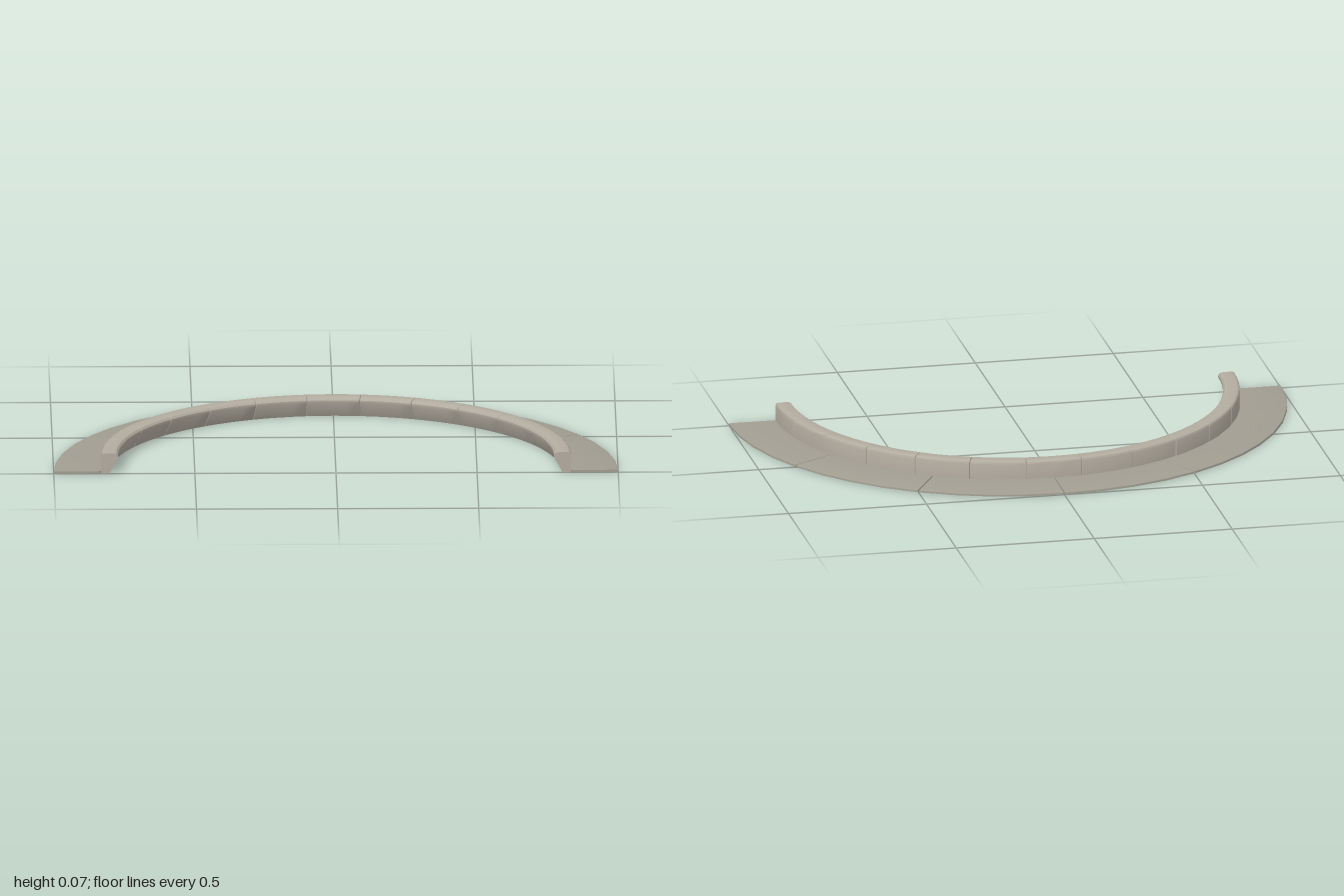
import * as THREE from 'three';
import { toCreasedNormals } from 'three/addons/utils/BufferGeometryUtils.js';

const CENTRE_Z = 0.5; // centre of the half circle
const slabMaterial = new THREE.MeshStandardMaterial({ color: 0xa19d91 });
const kerbMaterial = new THREE.MeshStandardMaterial({ color: 0xb3aca0 });

// Sweeps a convex counter-clockwise [radius, height] profile round the arc.
// rings: list of { angle, inset }, inset pulling the top and sides in.
function sweepBlock(profile, rings) {
  const rs = profile.map((p) => p[0]);
  const top = Math.max(...profile.map((p) => p[1]));
  const mid = (Math.min(...rs) + Math.max(...rs)) / 2;
  const half = Math.max(...rs) - mid;
  const n = profile.length;
  const positions = [];
  const indices = [];
  for (const { angle, inset } of rings) {
    for (const [r, y] of profile) {
      const rr = mid + (r - mid) * (1 - inset / half);
      positions.push(rr * Math.cos(angle), y * (1 - inset / top), CENTRE_Z - rr * Math.sin(angle));
    }
  }
  for (let i = 0; i < rings.length - 1; i++) {
    for (let j = 0; j < n; j++) {
      const k = (j + 1) % n;
      const a = i * n + j, b = i * n + k, c = b + n, d = a + n;
      indices.push(a, d, c, a, c, b);
    }
  }
  const last = (rings.length - 1) * n;
  for (let j = 1; j < n - 1; j++) {
    indices.push(0, j, j + 1, last, last + j + 1, last + j);
  }
  const geometry = new THREE.BufferGeometry();
  geometry.setAttribute('position', new THREE.Float32BufferAttribute(positions, 3));
  geometry.setIndex(indices);
  return toCreasedNormals(geometry, 0.6);
}

// Divides the half circle into equal blocks with narrow bevelled joints.
function arcOfBlocks(name, material, profile, count, steps, gap, bevel) {
  const group = new THREE.Group();
  group.name = name + 's';
  const radius = profile[0][0];
  for (let b = 0; b < count; b++) {
    const first = b === 0, final = b === count - 1;
    const start = (Math.PI * b) / count + (first ? 0 : gap / 2 / radius);
    const end = (Math.PI * (b + 1)) / count - (final ? 0 : gap / 2 / radius);
    const from = start + (first ? 0 : bevel / radius);
    const to = end - (final ? 0 : bevel / radius);
    const rings = [];
    if (!first) rings.push({ angle: start, inset: bevel });
    for (let i = 0; i <= steps; i++) {
      rings.push({ angle: from + ((to - from) * i) / steps, inset: 0 });
    }
    if (!final) rings.push({ angle: end, inset: bevel });
    const mesh = new THREE.Mesh(sweepBlock(profile, rings), material);
    mesh.name = name;
    group.add(mesh);
  }
  return group;
}

// Points of a rounded corner, from angle a0 to a1 in degrees.
function corner(r, y, radius, a0, a1) {
  return [0, 1, 2, 3].map((i) => {
    const a = THREE.MathUtils.degToRad(a0 + ((a1 - a0) * i) / 3);
    return [r + radius * Math.cos(a), y + radius * Math.sin(a)];
  });
}

export function createModel() {
  const model = new THREE.Group();
  model.name = 'curvedKerb';

  // Flat paving outside the kerb
  const slab = [[0.834, 0], [1, 0], ...corner(0.997, 0.006, 0.003, 0, 90), [0.834, 0.009]];
  model.add(arcOfBlocks('pavingSlab', slabMaterial, slab, 6, 4, 0.003, 0.001));

  // Raised kerb: upright outer side, undercut inner side, rounded top edges
  const kerb = [
    [0.803, 0], [0.832, 0],
    ...corner(0.822, 0.064, 0.01, 0, 90),
    ...corner(0.787, 0.059, 0.015, 90, 195),
  ];
  model.add(arcOfBlocks('kerbStone', kerbMaterial, kerb, 13, 4, 0.0015, 0.0015));

  return model;
}
